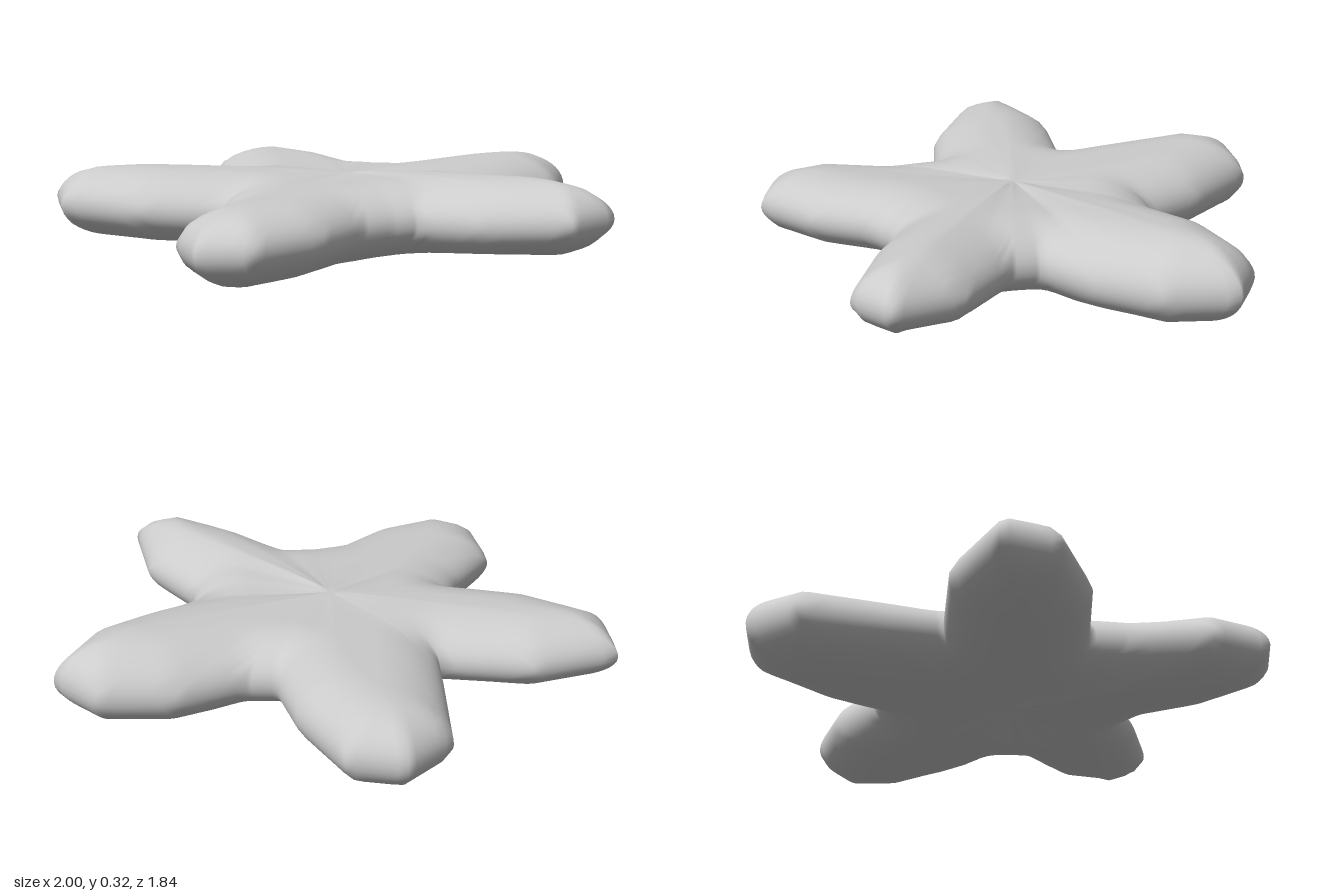
import * as THREE from 'three';
import { mergeVertices } from 'three/addons/utils/BufferGeometryUtils.js';

// Rim of the five-armed body, clockwise from the back arm: x, height, z
const RIM = [
  [-0.17, 0.17, -0.92], [0.03, 0.17, -0.865], [0.17, 0.165, -0.58], [0.23, 0.165, -0.345],
  [0.33, 0.16, -0.325], [0.58, 0.155, -0.415], [0.85, 0.165, -0.41], [1.0, 0.175, -0.27],
  [0.89, 0.165, -0.04], [0.69, 0.155, 0.11], [0.51, 0.165, 0.22], [0.51, 0.175, 0.325],
  [0.685, 0.185, 0.56], [0.735, 0.21, 0.83], [0.56, 0.2, 0.905], [0.29, 0.18, 0.74],
  [0.13, 0.175, 0.6], [0.04, 0.17, 0.61], [-0.07, 0.165, 0.645], [-0.24, 0.16, 0.8],
  [-0.49, 0.15, 0.915], [-0.66, 0.14, 0.83], [-0.685, 0.14, 0.61], [-0.52, 0.16, 0.36],
  [-0.47, 0.17, 0.23], [-0.75, 0.18, 0.125], [-1.0, 0.19, -0.08], [-1.0, 0.195, -0.295],
  [-0.685, 0.185, -0.355], [-0.36, 0.175, -0.27], [-0.355, 0.17, -0.42], [-0.335, 0.17, -0.78],
].map((p) => new THREE.Vector3(...p));

const CENTRE = new THREE.Vector3(0, 0.168, 0.1);
const SUBDIVISIONS = 6, RINGS = 24, ROUNDING = 0.23;

// Shortest plan distance from a point to the rim
function rimDistance(x, z) {
  let best = Infinity;
  RIM.forEach((a, i) => {
    const b = RIM[(i + 1) % RIM.length];
    const dx = b.x - a.x, dz = b.z - a.z;
    const t = THREE.MathUtils.clamp(((x - a.x) * dx + (z - a.z) * dz) / (dx * dx + dz * dz), 0, 1);
    best = Math.min(best, Math.hypot(x - a.x - t * dx, z - a.z - t * dz));
  });
  return best;
}

// A point on the skin: s runs from the centre to the rim, side is +1 on top and -1 below
function skinPoint(rim, s, side) {
  const x = THREE.MathUtils.lerp(CENTRE.x, rim.x, s);
  const z = THREE.MathUtils.lerp(CENTRE.z, rim.z, s);
  const middle = THREE.MathUtils.lerp(CENTRE.y, rim.y, Math.sqrt(s));
  const d = s === 1 ? 0 : Math.min(rimDistance(x, z) / ROUNDING, 1);
  let half = 0.132 + 0.024 * THREE.MathUtils.clamp(x - z, 0, 0.9);
  // The underside is slightly hollow in the middle
  if (side < 0) half -= 0.03 * Math.exp(-((x * x + (z - 0.1) ** 2) / 0.06));
  return [x, middle + side * half * Math.sqrt(1 - (1 - d) ** 2), z];
}

function bodyGeometry() {
  const columns = [];
  RIM.forEach((a, i) => {
    const b = RIM[(i + 1) % RIM.length];
    for (let k = 0; k < SUBDIVISIONS; k++) columns.push(a.clone().lerp(b, k / SUBDIVISIONS));
  });
  // Each column runs over the top to the centre and back out below
  const positions = [], index = [], rows = 2 * (RINGS + 1);
  for (const rim of columns) {
    for (let j = 0; j <= RINGS; j++) positions.push(...skinPoint(rim, 1 - (j / RINGS) ** 1.8, 1));
    for (let j = RINGS; j >= 0; j--) positions.push(...skinPoint(rim, 1 - (j / RINGS) ** 1.8, -1));
  }
  for (let i = 0; i < columns.length; i++) {
    const p = i * rows, q = ((i + 1) % columns.length) * rows;
    for (let j = 0; j < rows - 1; j++) {
      if (j === RINGS) continue;
      if (j !== RINGS + 1) index.push(p + j, p + j + 1, q + j);
      if (j !== RINGS - 1) index.push(q + j, p + j + 1, q + j + 1);
    }
  }
  let geometry = new THREE.BufferGeometry();
  geometry.setAttribute('position', new THREE.Float32BufferAttribute(positions, 3));
  geometry.setIndex(index);
  geometry = mergeVertices(geometry, 1e-5);
  geometry.computeBoundingBox();
  geometry.translate(0, -geometry.boundingBox.min.y, 0);
  geometry.computeVertexNormals();
  return geometry;
}

export function createModel() {
  const group = new THREE.Group();
  group.name = 'starfish';
  const body = new THREE.Mesh(bodyGeometry(), new THREE.MeshStandardMaterial({ color: 0xcccccc }));
  body.name = 'fiveArmedBody';
  group.add(body);
  return group;
}
